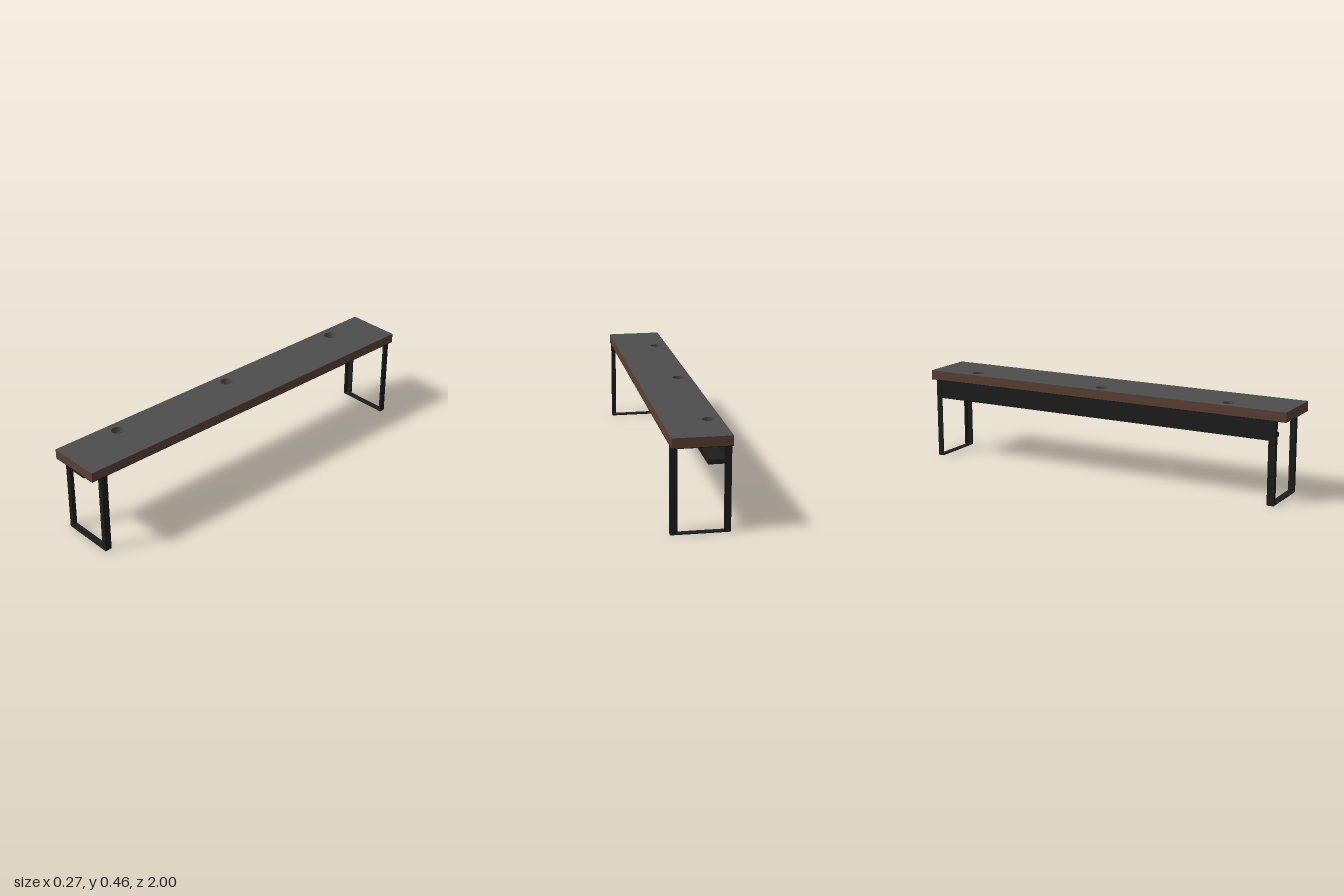
import * as THREE from 'three';

const mat = (name, color, side = THREE.FrontSide) => {
  const m = new THREE.MeshStandardMaterial({ color, side });
  m.name = name;
  return m;
};

export function createModel() {
  const grey = mat('charcoal laminate', 0x4d4d4d, THREE.DoubleSide);
  const darkGrey = mat('dark grey underside', 0x383838);
  const brown = mat('dark brown wood', 0x5c4033);
  const black = mat('black steel', 0x1d1d1d);
  const model = new THREE.Group();
  model.name = 'bench';

  const W = 0.137, HOLE_X = -0.077, HOLE_R = 0.03;
  const holes = [-0.742, -0.003, 0.687];

  function add(name, geometry, material, parent = model) {
    const mesh = new THREE.Mesh(geometry, material);
    mesh.name = name;
    parent.add(mesh);
    return mesh;
  }

  // Box given by its two extreme corners
  function box(name, x0, x1, y0, y1, z0, z1, material, parent) {
    const mesh = add(name, new THREE.BoxGeometry(Math.abs(x1 - x0), y1 - y0, Math.abs(z1 - z0)), material, parent);
    mesh.position.set((x0 + x1) / 2, (y0 + y1) / 2, (z0 + z1) / 2);
  }

  const rectangle = (x, z) => [[-x, -z], [x, -z], [x, z], [-x, z]].map(([a, b]) => new THREE.Vector2(a, b));
  const cableHoles = holes.map((z) => new THREE.Path().absarc(HOLE_X, -z, HOLE_R, 0, Math.PI * 2, true));

  // Flat rectangular layer with cut-outs
  function sheet(name, x, z, y0, y1, cutouts, material) {
    const shape = new THREE.Shape(rectangle(x, z));
    shape.holes.push(...cutouts);
    const g = new THREE.ExtrudeGeometry(shape, { depth: y1 - y0, bevelEnabled: false, curveSegments: 32 });
    g.rotateX(-Math.PI / 2).translate(0, y0, 0);
    add(name, g, material);
  }

  // Top: laminate over a wooden apron, with a recessed underside and a steel rim
  const inX = 0.117, inZ = 0.945;
  const recess = new THREE.Path(rectangle(inX, inZ).reverse());
  sheet('topSurface', W, 1, 0.455, 0.457, cableHoles, grey);
  sheet('apron', W, 1, 0.411, 0.455, [recess], brown);
  sheet('undersidePanel', inX, inZ, 0.419, 0.455, cableHoles, darkGrey);
  sheet('undersideRim', W, 1, 0.408, 0.411, [recess], black);

  // Cable hole linings; the front one hangs lower and is closed
  for (const z of holes) {
    const closed = z > 0.5;
    const y0 = closed ? 0.393 : 0.416, h = 0.4565 - y0;
    const lining = add('cableHoleLining', new THREE.CylinderGeometry(0.0296, 0.0296, h, 32, 1, true), grey);
    lining.position.set(HOLE_X, y0 + h / 2, z);
    if (closed) {
      const floor = add('cableHoleFloor', new THREE.CylinderGeometry(0.0296, 0.0296, 0.003, 32), grey);
      floor.position.set(HOLE_X, y0 + 0.0015, z);
    }
  }

  // Leg frames: angle-iron posts joined by flat bars, corners facing outwards
  function legFrame(name, end, zOuter, depth, flange) {
    const frame = new THREE.Group();
    frame.name = name;
    model.add(frame);
    const t = 0.005, zIn = end * (zOuter - depth), zOut = end * zOuter;
    for (const s of [-1, 1]) {
      box('legEndFlange', s * W, s * (W - flange), 0, 0.409, zOut, zOut - end * t, black, frame);
      box('legSideFlange', s * W, s * (W - t), 0, 0.409, zOut, zIn, black, frame);
    }
    box('footBar', -W, W, 0, t, zOut, zIn, black, frame);
    box('topBar', -W, W, 0.405, 0.409, zOut, zOut - end * t, black, frame);
  }
  legFrame('frontLegFrame', 1, 0.95, 0.035, 0.024);
  legFrame('backLegFrame', -1, 0.97, 0.03, 0.032);

  // Cable tray: tall side panel, floor, low lip and end lips
  const tray = new THREE.Group();
  tray.name = 'cableTray';
  model.add(tray);
  const zA = -0.947, zB = 0.925;
  box('trayPanel', -0.131, -0.126, 0.312, 0.409, zA, zB, black, tray);
  box('trayFloor', -0.131, -0.035, 0.312, 0.317, zA, zB, black, tray);
  box('trayLip', -0.04, -0.035, 0.312, 0.334, zA, zB, black, tray);
  for (const z of [zA, zB - 0.005]) box('trayEndLip', -0.131, -0.035, 0.312, 0.334, z, z + 0.005, black, tray);

  return model;
}
